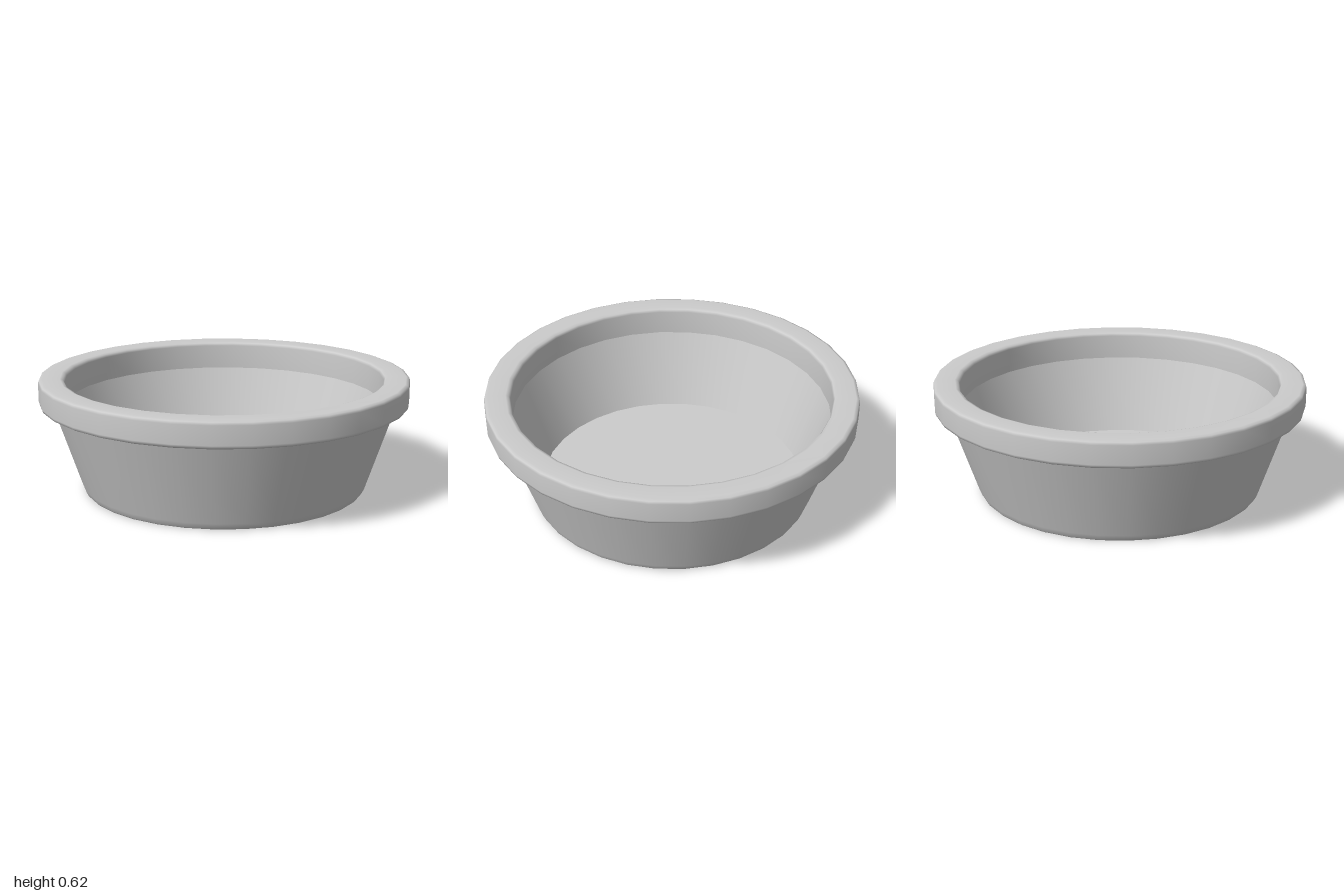
import * as THREE from 'three';

const SEGMENTS = 32;

// Revolve a [radius, height] profile; separate profiles keep creases sharp
function lathe(name, profile) {
  const points = profile.map(([r, y]) => new THREE.Vector2(r, y));
  const mesh = new THREE.Mesh(
    new THREE.LatheGeometry(points, SEGMENTS),
    new THREE.MeshStandardMaterial({ color: 0xcccccc })
  );
  mesh.name = name;
  return mesh;
}

export function createModel() {
  const bowl = new THREE.Group();
  bowl.name = 'bowl';
  bowl.add(
    // Flat underside
    lathe('base', [[0, 0], [0.76, 0]]),
    // Tapered outside, slightly rounded at the foot
    lathe('outerWall', [[0.76, 0], [0.768, 0.008], [0.78, 0.035], [0.93, 0.48]]),
    // Thick rim with bevelled corners, from the underside over to the inner lip
    lathe('rim', [
      [0.93, 0.48], [0.985, 0.48], [0.996, 0.486], [1, 0.5],
      [1, 0.6], [0.996, 0.614], [0.98, 0.62],
      [0.885, 0.62], [0.868, 0.614], [0.86, 0.6], [0.86, 0.465],
    ]),
    // Tapered inside
    lathe('innerWall', [[0.86, 0.465], [0.715, 0.05]]),
    // Inside bottom
    lathe('floor', [[0.715, 0.05], [0, 0.05]])
  );
  return bowl;
}
